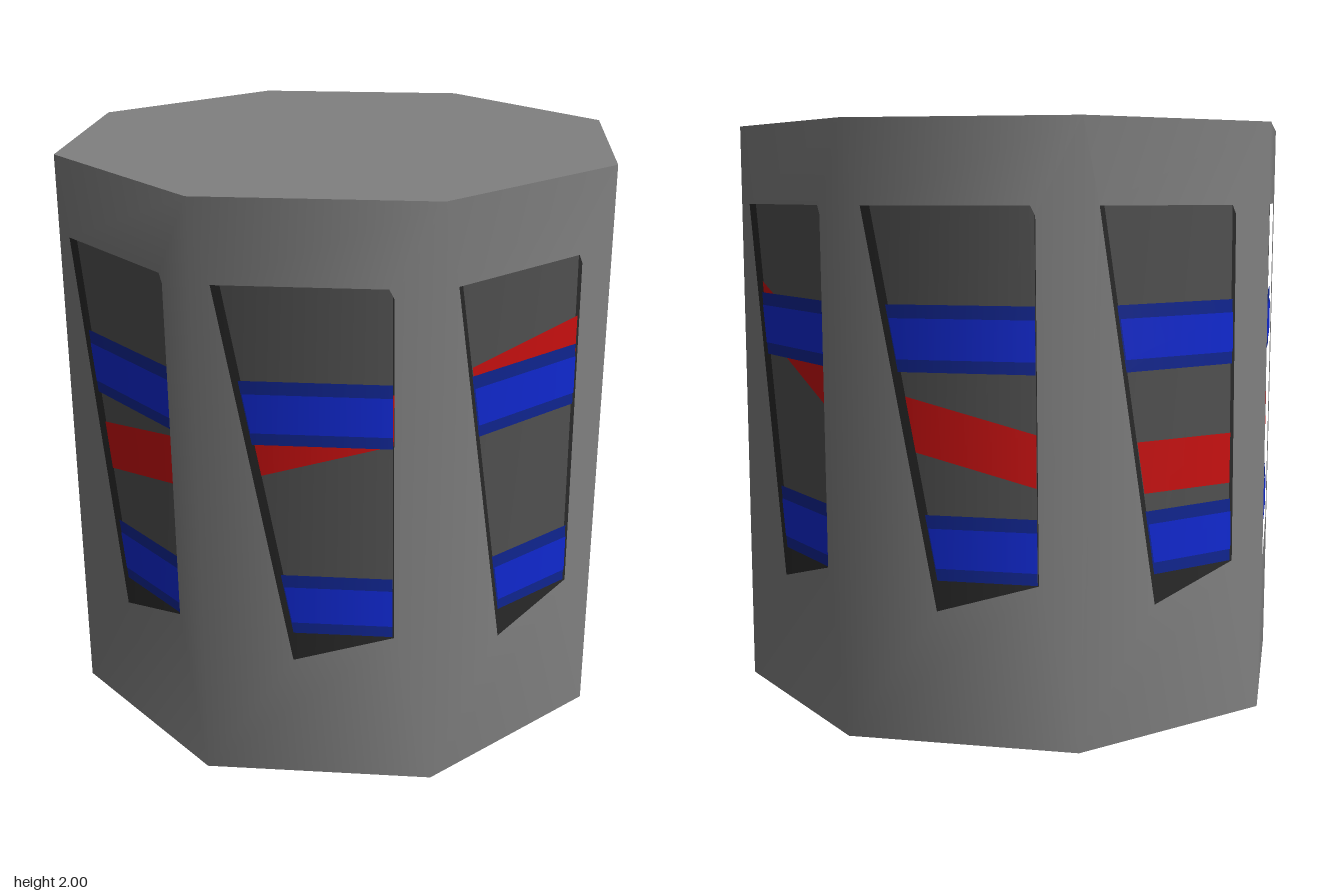
import * as THREE from 'three';

const SIDES = 8;
const TOP = 1.73; // upper edge of the windows
// mid-height of the sloping red stripe at each corner of the octagon
const STRIPE = [1.345, 1.455, 1.44, 1.1, 0.9, 0.89, 0.98, 1.13];

const mat = (name, color) => {
  const m = new THREE.MeshStandardMaterial({ color });
  m.name = name;
  return m;
};

// slanted left and nearly upright right edge of a window, as fractions of the side
const left = (y, inset = 0) => 0.085 + inset + 0.24 * (TOP - y);
const right = (y, inset = 0) => 0.81 - inset + 0.0155 * (TOP - y);

export function createModel() {
  const group = new THREE.Group();
  const shellMat = mat('shell grey', 0x808080);
  const panelMat = mat('panel grey', 0x505050);
  const darkMat = mat('recess black', 0x2a2a2a);
  const redMat = mat('stripe red', 0xc81010);
  const blueMat = mat('band blue', 0x1028d0);
  const edgeMat = mat('band edge blue', 0x102590);

  const corner = (k) => {
    const a = (k * Math.PI * 2) / SIDES;
    return new THREE.Vector3(Math.sin(a), 0, Math.cos(a));
  };

  // lays a flat outline (fraction of side, height) on side k, sunk by depth
  const lay = (name, k, depth, material, points, hole) => {
    const v = (list) => list.map(([t, y]) => new THREE.Vector2(t, y));
    const shape = new THREE.Shape(v(points));
    if (hole) shape.holes.push(new THREE.Path(v(hole)));
    const geo = new THREE.ShapeGeometry(shape);
    const pos = geo.attributes.position, nor = geo.attributes.normal;
    const a = corner(k), b = corner(k + 1);
    const inward = a.clone().add(b).normalize().multiplyScalar(-depth);
    for (let i = 0; i < pos.count; i++) {
      const p = a.clone().lerp(b, pos.getX(i));
      const n = p.clone().normalize(); // smooth shading round the body
      p.add(inward);
      pos.setXYZ(i, p.x, pos.getY(i), p.z);
      nor.setXYZ(i, n.x, n.y, n.z);
    }
    const mesh = new THREE.Mesh(geo, material);
    mesh.name = name;
    return mesh;
  };

  // horizontal strip across a window
  const strip = (y0, y1, inset = 0.035) => [
    [left(y0, inset), y0], [right(y0, 0.006), y0],
    [right(y1, 0.006), y1], [left(y1, inset), y1],
  ];

  for (let k = 0; k < SIDES; k++) {
    const side = new THREE.Group();
    side.name = 'side' + (k + 1);

    // outer wall with a slanted window
    side.add(lay('wall', k, 0, shellMat,
      [[0, 0], [1, 0], [1, 2], [0, 2]],
      [[left(0.44), 0.44], [right(0.54), 0.54], [right(1.7), 1.7],
        [right(TOP) - 0.02, TOP], [left(TOP), TOP]]));

    // dark recess and grey panel behind the window
    side.add(lay('recess', k, 0.015, darkMat, [[0, 0.02], [1, 0.02], [1, 1.98], [0, 1.98]]));
    side.add(lay('panel', k, 0.012, panelMat, strip(0.54, TOP)));

    // sloping red stripe, cut off along the slanted window edge
    const c0 = STRIPE[k], c1 = STRIPE[(k + 1) % SIDES];
    const ends = [-0.085, 0.085].map((h) => {
      const t = left(c0 + h, 0.035) / (1 + 0.24 * (c1 - c0));
      return [[t, c0 + h + (c1 - c0) * t], [0.815, c0 + h + (c1 - c0) * 0.815]];
    });
    side.add(lay('redStripe', k, 0.009, redMat, [ends[0][0], ends[0][1], ends[1][1], ends[1][0]]));

    // two blue bands with darker borders
    for (const y of [0.54, 1.21]) {
      side.add(lay('bandEdge', k, 0.006, edgeMat, strip(y, y + 0.213, 0.025)));
      side.add(lay('band', k, 0.003, blueMat, strip(y + 0.04, y + 0.17, 0.03)));
    }
    group.add(side);
  }

  // top and bottom lids
  for (const [name, y, turn] of [['topLid', 2, -1], ['bottomLid', 0, 1]]) {
    const lid = new THREE.Mesh(new THREE.CircleGeometry(1, SIDES), shellMat);
    lid.name = name;
    lid.rotation.x = (turn * Math.PI) / 2;
    lid.position.y = y;
    group.add(lid);
  }
  return group;
}
